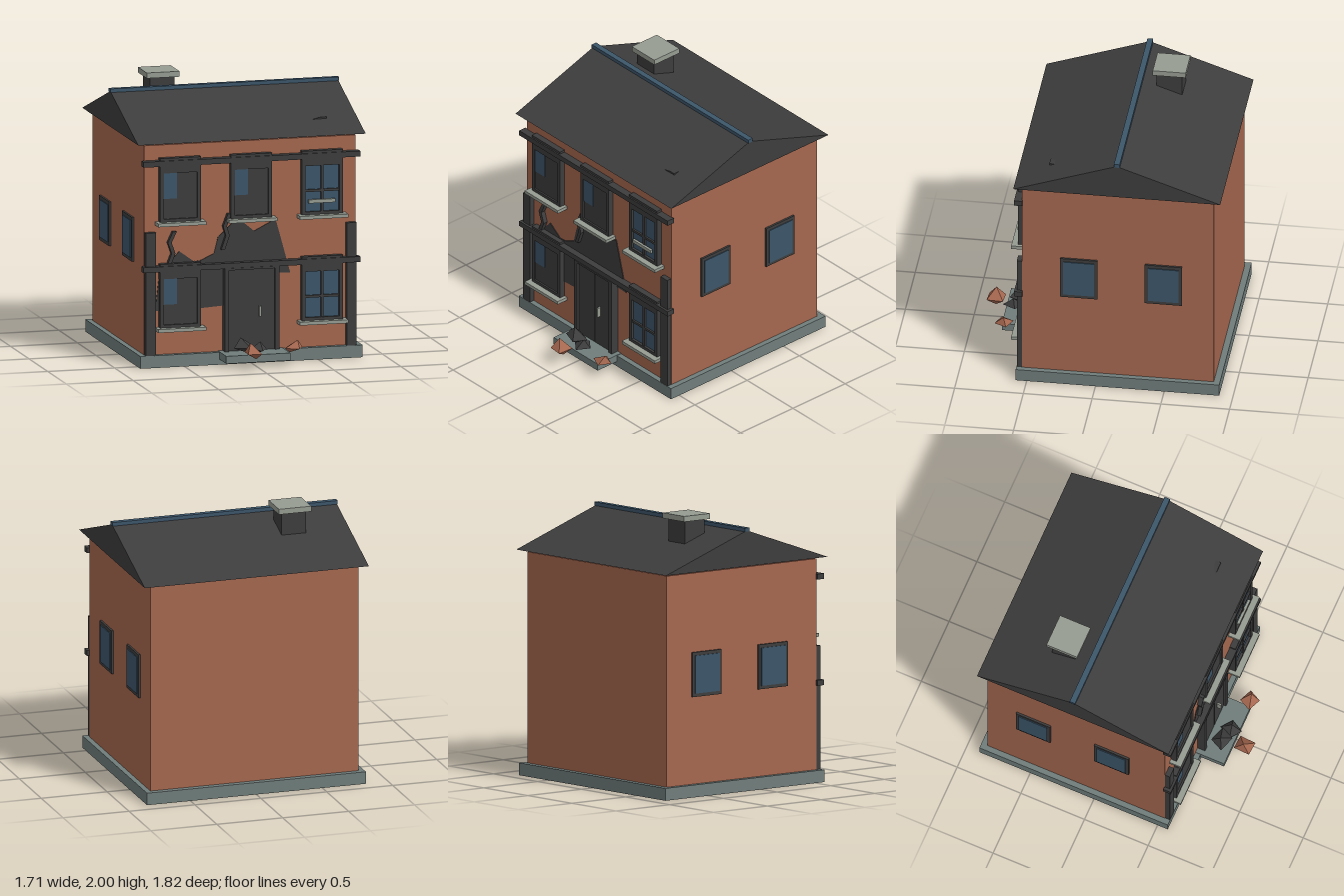
import * as THREE from 'three';

const mat = (name, color, side = THREE.FrontSide) => {
  const m = new THREE.MeshStandardMaterial({ color, side });
  m.name = name;
  return m;
};

export function createModel() {
  const root = new THREE.Group();
  root.name = 'derelictHouse';
  const brick = mat('brick', 0xa5674f);
  const dark = mat('charcoal', 0x3d3d3d);
  const blue = mat('slateBlue', 0x3c566a);
  const pale = mat('paleStone', 0x969c92);
  const stone = mat('greyStone', 0x6f7d7b);

  const add = (name, geo, m, parent = root) => {
    const mesh = new THREE.Mesh(geo, m);
    mesh.name = name;
    parent.add(mesh);
    return mesh;
  };
  // Box given by its minimum and maximum on each axis
  const box = (name, m, x0, x1, y0, y1, z0, z1, parent = root) => {
    const mesh = add(name, new THREE.BoxGeometry(x1 - x0, y1 - y0, z1 - z0), m, parent);
    mesh.position.set((x0 + x1) / 2, (y0 + y1) / 2, (z0 + z1) / 2);
    return mesh;
  };
  const plate = (name, points, depth, z, m) => {
    const shape = new THREE.Shape(points.map(p => new THREE.Vector2(p[0], p[1])));
    const mesh = add(name, new THREE.ExtrudeGeometry(shape, { depth, bevelEnabled: false }), m);
    mesh.position.z = z;
    return mesh;
  };
  const group = (name) => {
    const g = new THREE.Group();
    g.name = name;
    root.add(g);
    return g;
  };

  // Foundation, step and walls
  box('foundation', stone, -0.83, 0.83, 0, 0.09, -0.9, 0.58);
  box('doorStep', stone, -0.24, 0.24, 0.04, 0.095, 0.5, 0.765);
  box('walls', brick, -0.79, 0.79, 0.09, 1.625, -0.855, 0.54);

  // Gable roof, extruded along x
  const gable = new THREE.Shape([
    new THREE.Vector2(-0.595, 1.64), new THREE.Vector2(0.91, 1.64), new THREE.Vector2(0.157, 1.9),
  ]);
  const roofGeo = new THREE.ExtrudeGeometry(gable, { depth: 1.7, bevelEnabled: false });
  roofGeo.rotateY(Math.PI / 2);
  roofGeo.translate(-0.85, 0, 0);
  add('roof', roofGeo, dark);
  box('ridgeCap', blue, -0.855, 0.855, 1.893, 1.92, -0.18, -0.138);
  box('chimney', dark, -0.52, -0.335, 1.625, 1.96, -0.465, -0.28);
  box('chimneyCap', pale, -0.55, -0.305, 1.96, 2, -0.495, -0.255);
  box('fallenRafter', dark, -0.05, 0.1, 1.627, 1.66, -0.33, 0.36);
  plate('brokenTile', [[0.51, 1.718], [0.62, 1.722], [0.62, 1.734], [0.57, 1.732]], 0.04, 0.325, dark);

  // Timber posts and horizontal beams
  for (const s of [-1, 1]) {
    box('cornerPost', dark, s * 0.75 - 0.037, s * 0.75 + 0.037, 0.09, 0.99, 0.54, 0.578);
  }
  for (const y of [0.722, 1.495]) {
    box('beam', dark, -0.81, 0.81, y - 0.02, y + 0.02, 0.535, 0.595);
  }

  // Exposed render patch on the facade
  plate('barePatch', [
    [-0.71, 0.41], [-0.68, 0.67], [-0.61, 0.75], [-0.53, 0.84], [-0.42, 0.76], [-0.37, 0.765],
    [-0.27, 0.81], [-0.24, 0.93], [-0.12, 1.04], [-0.06, 1.035], [0.03, 0.96], [0.19, 1.04],
    [0.3, 0.64], [0.2, 0.645], [0.2, 0.425], [-0.2, 0.425], [-0.37, 0.415],
  ], 0.008, 0.538, dark);

  // Zigzag cracks
  const crack = (path) => {
    const w = 0.014;
    const right = path.map(([x, y]) => [x + w, y]);
    const left = path.map(([x, y]) => [x - w, y]).reverse();
    plate('crack', [...right, ...left], 0.034, 0.54, dark);
  };
  crack([[-0.57, 0.99], [-0.608, 0.91], [-0.58, 0.83], [-0.615, 0.74]]);
  crack([[-0.16, 1.1], [-0.195, 1.01], [-0.175, 0.94], [-0.21, 0.84]]);

  // Facade windows: frame, lintel, sill, then boarding or panes
  const frontWindow = (x, y0, y1, boarded) => {
    const g = group(boarded ? 'boardedWindow' : 'frontWindow');
    const o = 0.153, i = 0.126;
    const b = y0 + 0.025, t = y1 - 0.037;
    box('frameLeft', dark, x - o, x - i, y0, y1, 0.54, 0.585, g);
    box('frameRight', dark, x + i, x + o, y0, y1, 0.54, 0.585, g);
    box('frameBottom', dark, x - i, x + i, y0, b, 0.54, 0.585, g);
    box('frameTop', dark, x - i, x + i, t, y1, 0.54, 0.585, g);
    box('lintel', dark, x - o, x + o, y1, y1 + 0.073, 0.54, 0.585, g);
    box('sill', pale, x - 0.18, x + 0.18, y0 - 0.022, y0 + 0.003, 0.54, 0.63, g);
    if (boarded) {
      box('boarding', dark, x - i, x + i, b, t, 0.54, 0.572, g);
      box('glassShard', blue, x - i, x - i + 0.102, t - (t - b) * 0.56, t, 0.57, 0.578, g);
    } else {
      box('glass', blue, x - i, x + i, b, t, 0.54, 0.566, g);
      const m = (b + t) / 2 - 0.015;
      box('mullion', dark, x - 0.009, x + 0.009, b, t, 0.56, 0.58, g);
      box('transom', dark, x - i, x + i, m - 0.009, m + 0.009, 0.56, 0.58, g);
    }
  };
  frontWindow(-0.53, 1.062, 1.46, true);
  frontWindow(0, 1.062, 1.46, true);
  frontWindow(0.53, 1.062, 1.46, false);
  frontWindow(-0.53, 0.287, 0.685, true);
  frontWindow(0.53, 0.287, 0.685, false);
  box('nailedPlank', pale, 0.425, 0.625, 1.15, 1.176, 0.575, 0.595);

  // Side windows on both gable walls
  for (const s of [-1, 1]) {
    for (const z of [0.125, -0.49]) {
      const g = group('sideWindow');
      const f = box('frame', dark, -0.02, 0.02, 0.725, 1.05, z - 0.135, z + 0.135, g);
      f.position.x = s * 0.785;
      const p = box('glass', blue, -0.004, 0.004, 0.75, 1.025, z - 0.112, z + 0.112, g);
      p.position.x = s * 0.807;
    }
  }

  // Double door
  const door = group('door');
  for (const s of [-1, 1]) {
    box('doorJamb', dark, s * 0.188 - 0.016, s * 0.188 + 0.016, 0.09, 0.705, 0.54, 0.6, door);
    box('doorLeaf', dark, s * 0.088 - 0.084, s * 0.088 + 0.084, 0.09, 0.69, 0.54, 0.582, door);
  }
  box('doorHead', dark, -0.172, 0.172, 0.69, 0.705, 0.54, 0.6, door);
  box('doorSeam', dark, -0.005, 0.005, 0.09, 0.69, 0.54, 0.575, door);
  box('doorHandle', pale, 0.052, 0.065, 0.345, 0.42, 0.58, 0.613, door);

  // Fallen rubble: rough lumps with tilted corners
  const rubble = (m, x, y, z, sx, sy, sz, turn, lean) => {
    const geo = new THREE.OctahedronGeometry(1);
    geo.rotateY(turn);
    const p = geo.attributes.position;
    for (let i = 0; i < p.count; i++) {
      p.setX(i, p.getX(i) + lean * p.getY(i));
      if (p.getY(i) < -0.5) p.setY(i, -0.6);
    }
    geo.scale(sx, sy, sz);
    geo.computeVertexNormals();
    add('rubble', geo, m).position.set(x, y, z);
  };
  rubble(dark, -0.085, 0.14, 0.68, 0.09, 0.07, 0.075, 0.4, -0.25);
  rubble(dark, 0.015, 0.125, 0.71, 0.068, 0.055, 0.08, 0.2, 0.2);
  rubble(brick, -0.06, 0.125, 0.848, 0.072, 0.075, 0.085, 0.72, -0.3);
  rubble(brick, 0.27, 0.13, 0.745, 0.075, 0.055, 0.07, 0.35, 0.4);

  return root;
}
